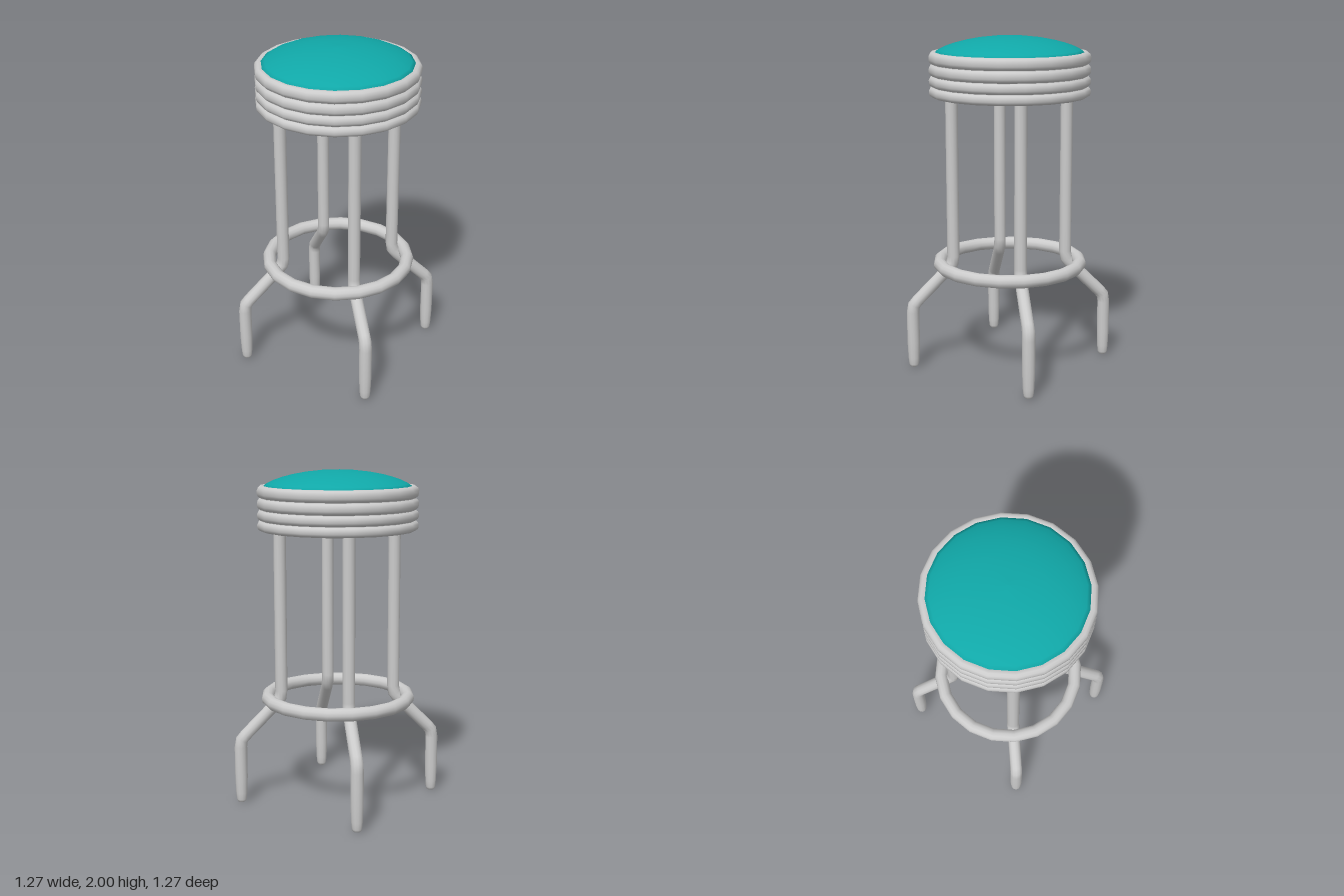
import * as THREE from 'three';
import { toCreasedNormals } from 'three/addons/utils/BufferGeometryUtils.js';

const SIDES = 20;

// Round tube swept along stations [x, y, radius, tilt] in the xy plane, running downwards
function sweptTube(stations, sides = 12) {
  const positions = [], index = [];
  for (const [x, y, r, tilt] of stations) {
    for (let j = 0; j < sides; j++) {
      const a = (j / sides) * Math.PI * 2;
      const u = r * Math.cos(a);
      positions.push(x + u * Math.cos(tilt), y + u * Math.sin(tilt), r * Math.sin(a));
    }
  }
  for (let i = 0; i < stations.length - 1; i++) {
    for (let j = 0; j < sides; j++) {
      const k = (j + 1) % sides;
      const a = i * sides + j, b = i * sides + k;
      index.push(a, b, a + sides, b, b + sides, a + sides);
    }
  }
  const geometry = new THREE.BufferGeometry();
  geometry.setAttribute('position', new THREE.Float32BufferAttribute(positions, 3));
  geometry.setIndex(index);
  geometry.computeVertexNormals();
  return geometry;
}

export function createModel() {
  const stool = new THREE.Group();
  stool.name = 'barStool';
  const metal = new THREE.MeshStandardMaterial({ color: 0xcccccc });
  const vinyl = new THREE.MeshStandardMaterial({ color: 0x10a8a8 });

  const add = (name, geometry, material) => {
    const mesh = new THREE.Mesh(geometry, material);
    mesh.name = name;
    stool.add(mesh);
    return mesh;
  };
  const lathe = (points) =>
    new THREE.LatheGeometry(points.map(([x, y]) => new THREE.Vector2(x, y)), SIDES);

  // Seat base: closed underside and four stacked rounded bands
  const levels = [1.65, 1.71, 1.772, 1.84, 1.91];
  const profile = [[0, levels[0]], [0.44, levels[0]]];
  for (let i = 0; i < 4; i++) {
    const y = levels[i], h = levels[i + 1] - y;
    profile.push([0.457, y + h * 0.02], [0.469, y + h * 0.15], [0.475, y + h * 0.35],
      [0.475, y + h * 0.65], [0.469, y + h * 0.85], [0.457, y + h * 0.98]);
  }
  profile.push([0.44, levels[4]], [0.42, 1.9]);
  add('seatBands', toCreasedNormals(lathe(profile), 0.9), metal);

  // Domed cushion
  const dome = [[0.43, 1.89], [0.436, 1.908]];
  for (const r of [0.415, 0.38, 0.33, 0.27, 0.2, 0.1, 0]) {
    dome.push([r, 1.905 + 0.095 * Math.pow(1 - (r / 0.436) ** 2, 0.75)]);
  }
  add('cushion', lathe(dome), vinyl);

  // Foot ring
  const ring = new THREE.TorusGeometry(0.425, 0.039, 12, SIDES);
  ring.rotateX(Math.PI / 2);
  add('footRing', ring, metal);
  stool.getObjectByName('footRing').position.y = 0.64;

  // Four bent legs with tapered, rounded feet
  const leg = sweptTube([
    [0.345, 1.66, 0.037, 0],
    [0.345, 0.69, 0.037, 0],
    [0.352, 0.645, 0.038, 0.38],
    [0.38, 0.607, 0.037, 0.78],
    [0.565, 0.422, 0.037, 0.78],
    [0.588, 0.394, 0.038, 0.45],
    [0.595, 0.35, 0.038, 0],
    [0.595, 0.16, 0.038, 0],
    [0.595, 0.06, 0.034, 0],
    [0.595, 0.02, 0.03, 0],
    [0.595, 0.006, 0.024, 0],
    [0.595, 0, 0.014, 0],
    [0.595, 0, 0, 0],
  ]);
  ['leftLeg', 'backLeg', 'rightLeg', 'frontLeg'].forEach((name, i) => {
    add(name, leg, metal).rotation.y = (i * Math.PI) / 2;
  });

  return stool;
}
